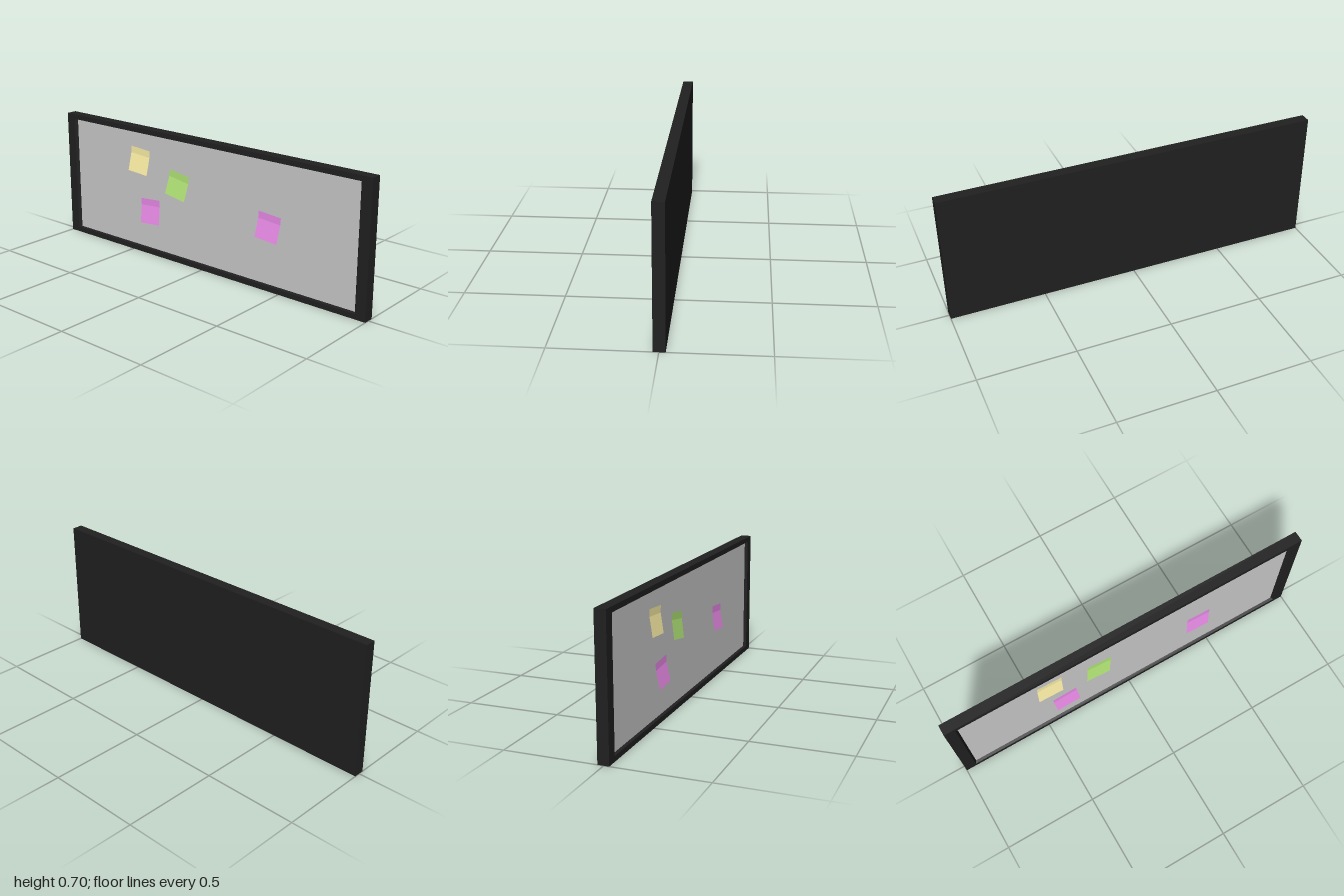
import * as THREE from 'three';

const HEIGHT = 0.7, BACK = -0.03, FRONT = 0.027, PANEL_Z = 0.012;

// Rectangular rings joined in a sequence: [half width, half height, z]
function ringShell(rings) {
  const pos = [], idx = [];
  for (const [w, h, z] of rings) pos.push(-w, -h, z, w, -h, z, w, h, z, -w, h, z);
  for (let r = 0; r < rings.length - 1; r++) {
    for (let i = 0; i < 4; i++) {
      const a = r * 4 + i, b = r * 4 + (i + 1) % 4;
      idx.push(a, b, b + 4, a, b + 4, a + 4);
    }
  }
  idx.push(0, 2, 1, 0, 3, 2); // closed back
  const geo = new THREE.BufferGeometry();
  geo.setAttribute('position', new THREE.Float32BufferAttribute(pos, 3));
  geo.setIndex(idx);
  const flat = geo.toNonIndexed();
  flat.computeVertexNormals();
  return flat;
}

// Sticky note: flat glued strip on top, lower part lifting off the board
function noteGeometry(size, strip, lift) {
  const geo = new THREE.PlaneGeometry(size, size, 1, 2);
  const p = geo.attributes.position;
  for (let i = 0; i < p.count; i++) {
    const row = Math.floor(i / 2);
    if (row === 1) p.setY(i, size / 2 - strip);
    if (row === 2) p.setZ(i, lift);
  }
  const flat = geo.toNonIndexed();
  flat.computeVertexNormals();
  return flat;
}

export function createModel() {
  const group = new THREE.Group();
  const add = (name, geo, color, x, y, z) => {
    const mat = new THREE.MeshStandardMaterial({ color, side: THREE.DoubleSide });
    const mesh = new THREE.Mesh(geo, mat);
    mesh.name = name;
    mesh.position.set(x, y, z);
    group.add(mesh);
    return mesh;
  };

  // Dark frame with closed back and a slightly sloped inner lip
  const h = HEIGHT / 2;
  add('frame', ringShell([
    [1, h, BACK], [1, h, FRONT], [0.943, h - 0.027, FRONT], [0.933, h - 0.031, PANEL_Z],
  ]), 0x202020, 0, h, 0);

  // Recessed board surface
  add('boardPanel', new THREE.PlaneGeometry(1.866, HEIGHT - 0.062), 0xcccccc, 0, h, PANEL_Z);

  // Sticky notes: name, colour, x, y, turn
  const notes = [
    ['yellowNote', 0xfff2a8, -0.447, 0.516, -0.07],
    ['greenNote', 0xb4e878, -0.173, 0.43, -0.16],
    ['lowerPinkNote', 0xec8cea, -0.372, 0.243, 0.08],
    ['rightPinkNote', 0xec8cea, 0.423, 0.333, -0.08],
  ];
  const geo = noteGeometry(0.135, 0.037, 0.018);
  for (const [name, color, x, y, turn] of notes) {
    add(name, geo, color, x, y, PANEL_Z + 0.001).rotation.z = turn;
  }
  return group;
}
